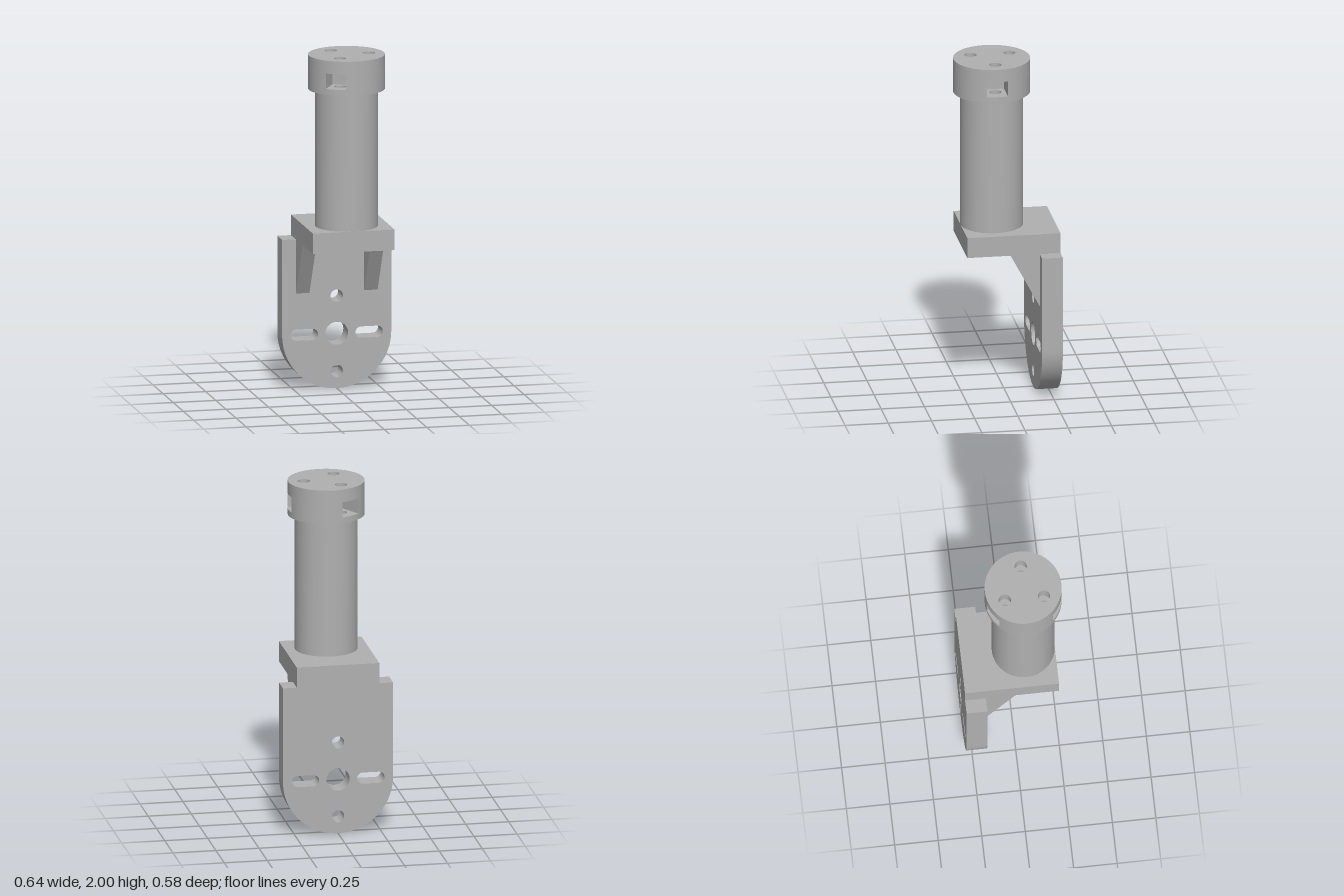
import * as THREE from 'three';
import { toCreasedNormals } from 'three/addons/utils/BufferGeometryUtils.js';

const grey = new THREE.MeshStandardMaterial({ color: 0xb0b0b0 });
grey.name = 'grey';

const AXIS_Z = 0.07; // the post and cap stand forward of centre
const ANGLES = [0, 1, 2].map((i) => (i * Math.PI * 2) / 3);

function circle(x, y, r) {
  return new THREE.Path().absarc(x, y, r, 0, Math.PI * 2, true);
}

function slot(x, y, halfLength, r) {
  const p = new THREE.Path();
  p.absarc(x - halfLength + r, y, r, Math.PI * 1.5, Math.PI * 0.5, true);
  p.absarc(x + halfLength - r, y, r, Math.PI * 0.5, -Math.PI * 0.5, true);
  p.closePath();
  return p;
}

function extrude(shape, depth) {
  return new THREE.ExtrudeGeometry(shape, { depth, bevelEnabled: false, curveSegments: 48 });
}

export function createModel() {
  const model = new THREE.Group();
  model.name = 'mountingBracket';
  const add = (name, geometry, parent = model) => {
    const mesh = new THREE.Mesh(toCreasedNormals(geometry, 0.6), grey);
    mesh.name = name;
    parent.add(mesh);
    return mesh;
  };

  // Upright plate with a rounded foot, bolt holes and adjusting slots
  const plate = new THREE.Shape();
  plate.moveTo(0.32, 0.885);
  plate.lineTo(-0.32, 0.885);
  plate.lineTo(-0.32, 0.325);
  plate.absarc(0, 0.325, 0.32, Math.PI, Math.PI * 2, false);
  plate.closePath();
  plate.holes.push(
    circle(0, 0.325, 0.067),
    circle(0, 0.545, 0.036),
    circle(0, 0.105, 0.036),
    slot(-0.19, 0.325, 0.08, 0.033),
    slot(0.19, 0.325, 0.08, 0.033)
  );
  add('mountingPlate', extrude(plate, 0.12).translate(0, 0.005, -0.29).translate(0, -0.01, 0));
  model.children[0].position.y = 0; // foot rests on the ground

  // Shelf
  add('shelf', new THREE.BoxGeometry(0.48, 0.12, 0.54).translate(0, 0.94, -0.02));

  // Triangular gussets, drawn in z and y
  const gusset = new THREE.Shape([
    new THREE.Vector2(-0.18, 0.545),
    new THREE.Vector2(0.005, 0.89),
    new THREE.Vector2(-0.18, 0.89),
  ]);
  for (const [name, x] of [['leftGusset', 0.24], ['rightGusset', -0.16]]) {
    add(name, extrude(gusset, 0.08).rotateY(-Math.PI / 2).translate(x, 0, 0));
  }

  // Post
  add('post', new THREE.CylinderGeometry(0.18, 0.18, 0.81, 64).translate(0, 1.395, AXIS_Z));

  // Cap in three layers: screw holes run through all, nut pockets open at the rim
  const cap = new THREE.Group();
  cap.name = 'cap';
  model.add(cap);
  const R = 0.22;
  const disc = () => {
    const s = new THREE.Shape().absarc(0, 0, R, 0, Math.PI * 2, false);
    for (const a of ANGLES) s.holes.push(circle(0.13 * Math.cos(a), 0.13 * Math.sin(a), 0.035));
    return s;
  };
  const pocketRing = new THREE.Shape();
  const half = 0.06;
  const spread = Math.asin(half / R);
  ANGLES.forEach((a, i) => {
    const inner = [-half, half].map((w) => [
      0.075 * Math.cos(a) - w * Math.sin(a),
      0.075 * Math.sin(a) + w * Math.cos(a),
    ]);
    if (i === 0) pocketRing.moveTo(...inner[0]);
    else pocketRing.lineTo(...inner[0]);
    pocketRing.lineTo(...inner[1]);
    pocketRing.absarc(0, 0, R, a + spread, a + (Math.PI * 2) / 3 - spread, false);
  });
  pocketRing.closePath();
  const layers = [
    ['capBase', disc(), 1.8, 1.835],
    ['nutPocketRing', pocketRing, 1.835, 1.925],
    ['capTop', disc(), 1.925, 2],
  ];
  for (const [name, shape, y0, y1] of layers) {
    add(name, extrude(shape, y1 - y0).rotateX(-Math.PI / 2).translate(0, y0, AXIS_Z), cap);
  }

  return model;
}
